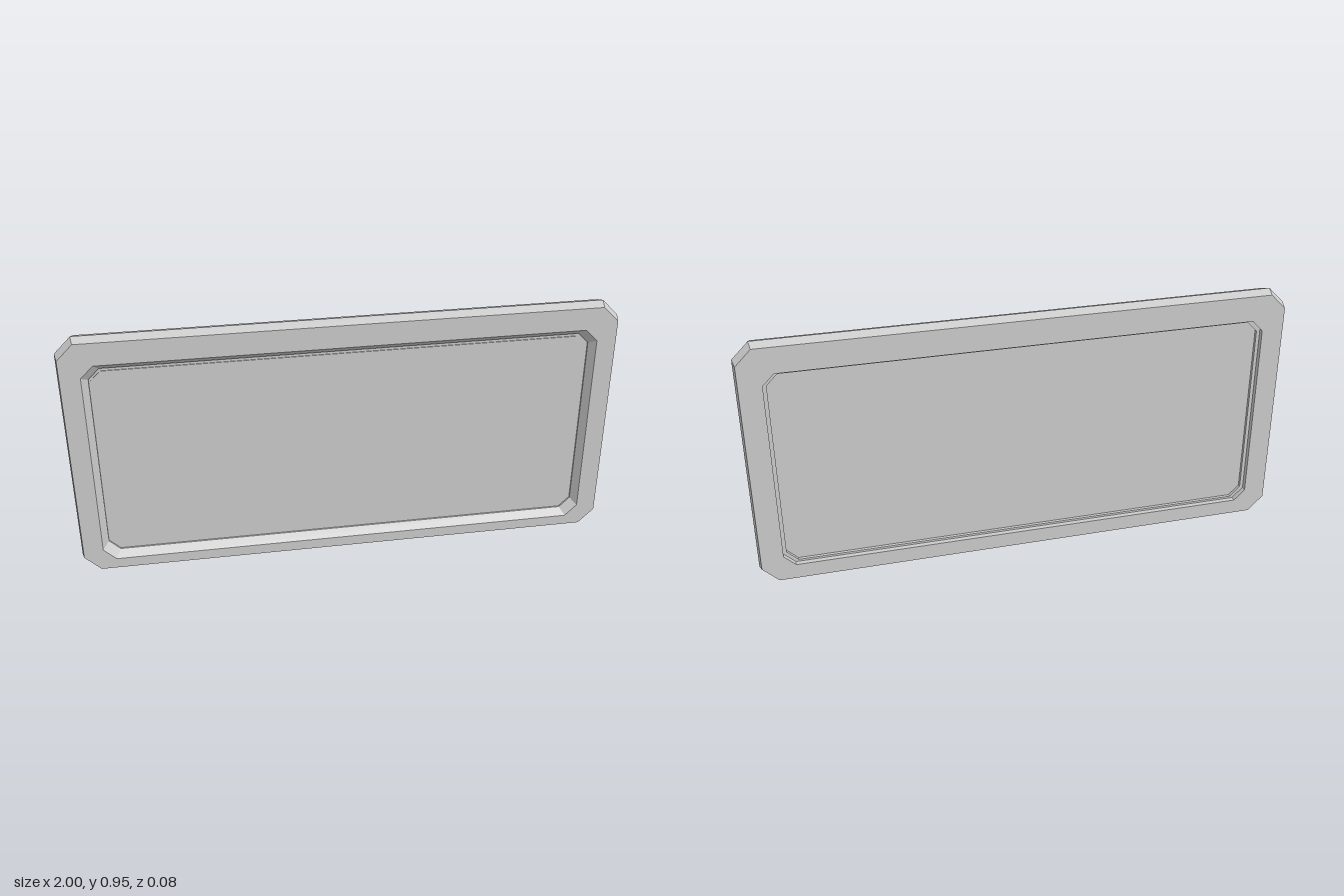
import * as THREE from 'three';

// Octagon: rectangle of half width x from y0 to y1 with corners cut by c
function octagon(x, y0, y1, c) {
  return [
    [x, y0 + c], [x, y1 - c], [x - c, y1], [c - x, y1],
    [-x, y1 - c], [-x, y0 + c], [c - x, y0], [x - c, y0],
  ];
}

// Skin successive octagonal rings into one closed band
function ringBand(rings) {
  const pos = [];
  rings.forEach((ringA, r) => {
    const ringB = rings[(r + 1) % rings.length];
    const a = octagon(...ringA), b = octagon(...ringB);
    for (let i = 0; i < 8; i++) {
      const j = (i + 1) % 8;
      const p = [...a[i], ringA[4]], q = [...a[j], ringA[4]];
      const s = [...b[j], ringB[4]], t = [...b[i], ringB[4]];
      pos.push(...p, ...q, ...s, ...p, ...s, ...t);
    }
  });
  const g = new THREE.BufferGeometry();
  g.setAttribute('position', new THREE.Float32BufferAttribute(pos, 3));
  g.computeVertexNormals();
  return g;
}

function panelGeometry(x, y0, y1, c, z0, z1) {
  const shape = new THREE.Shape(octagon(x, y0, y1, c).map(p => new THREE.Vector2(...p)));
  const g = new THREE.ExtrudeGeometry(shape, { depth: z1 - z0, bevelEnabled: false });
  return g.translate(0, 0, z0);
}

export function createModel() {
  const group = new THREE.Group();
  const grey = new THREE.MeshStandardMaterial({ color: 0xcccccc });
  grey.name = 'light grey';

  // Frame cross-section: half width, bottom, top, corner cut, z
  const frame = new THREE.Mesh(ringBand([
    [1.0, 0.0, 0.955, 0.06, 0],          // outer ridge
    [0.992, 0.012, 0.942, 0.058, 0.038], // front outer edge
    [0.92, 0.052, 0.857, 0.045, 0.038],  // front opening
    [0.897, 0.078, 0.834, 0.04, 0.012],  // foot of the front slope
    [0.897, 0.078, 0.834, 0.04, -0.018], // rear lip
    [0.91, 0.07, 0.845, 0.042, -0.018],
    [0.91, 0.07, 0.845, 0.042, -0.038],  // rear opening
    [0.992, 0.012, 0.942, 0.058, -0.038],
  ]), grey);
  frame.name = 'frame';
  group.add(frame);

  // Thin panel held inside the frame
  const panel = new THREE.Mesh(panelGeometry(0.9, 0.075, 0.837, 0.04, -0.006, 0.006), grey);
  panel.name = 'panel';
  group.add(panel);

  // Slightly raised field on the front of the panel
  const field = new THREE.Mesh(panelGeometry(0.89, 0.09, 0.822, 0.035, 0.006, 0.009), grey);
  field.name = 'panelField';
  group.add(field);

  return group;
}
